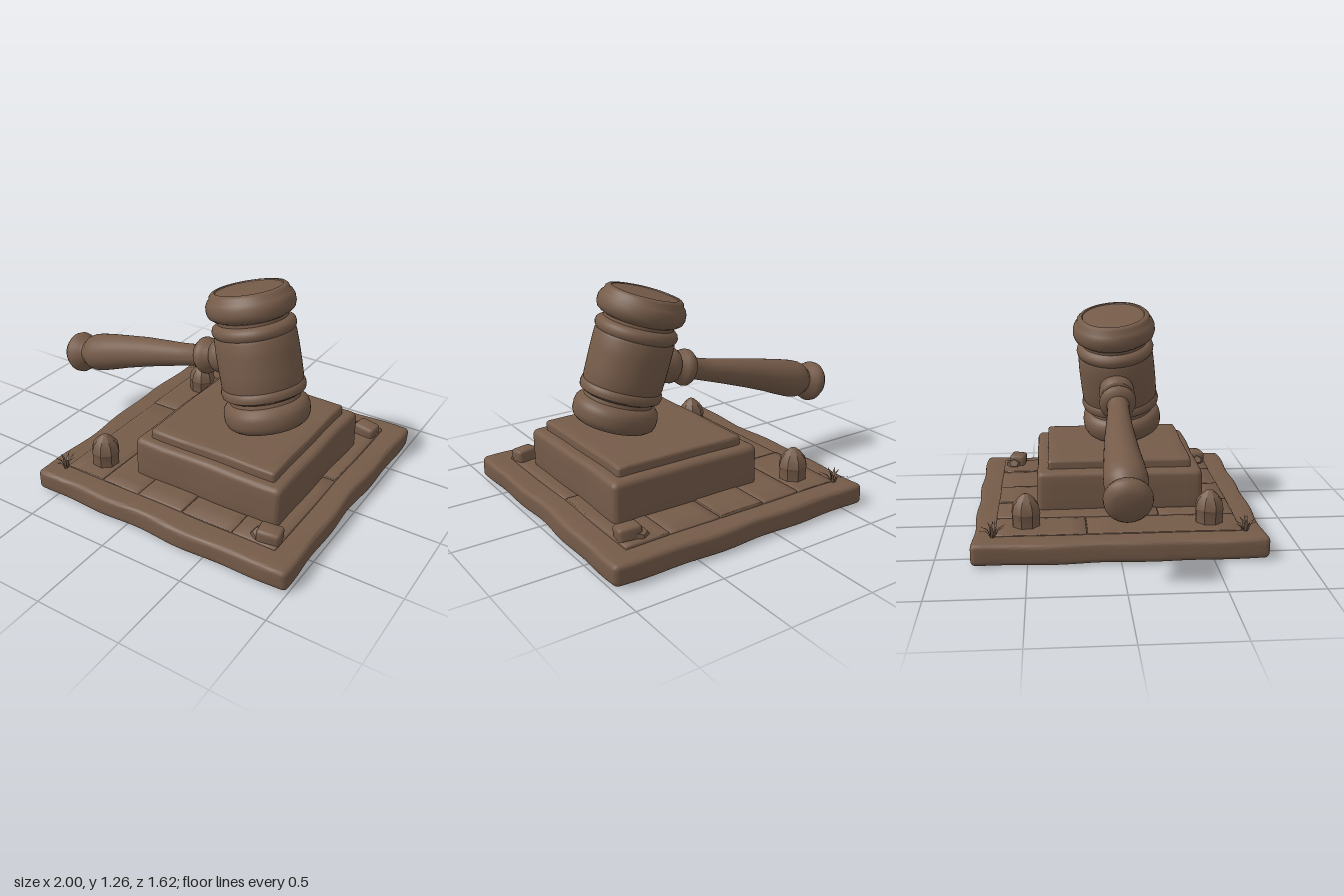
import * as THREE from 'three';
import { mergeVertices, toCreasedNormals } from 'three/addons/utils/BufferGeometryUtils.js';

const wood = new THREE.MeshStandardMaterial({ color: 0x755b49 });
wood.name = 'weathered brown';
const blade = new THREE.MeshStandardMaterial({ color: 0x755b49, side: THREE.DoubleSide });
blade.name = 'weathered brown blade';

const UP = new THREE.Vector3(0, 1, 0);

// Gentle hand-carved unevenness, then normals that keep hard edges
function carve(geo, amp, crease = 0.75) {
  geo.deleteAttribute('uv');
  geo.deleteAttribute('normal');
  geo = mergeVertices(geo, 1e-4);
  const p = geo.attributes.position;
  for (let i = 0; i < p.count; i++) {
    const x = p.getX(i), y = p.getY(i), z = p.getZ(i);
    p.setXYZ(i,
      x + amp * Math.sin(9 * z + 7 * y + 1) * Math.cos(4 * z - 3 * x),
      y + amp * 0.4 * Math.sin(8 * x + 1) * Math.sin(7 * z + 2),
      z + amp * Math.sin(8 * x - 6 * y + 2) * Math.cos(5 * x + 2 * z));
  }
  return toCreasedNormals(geo, crease);
}

function add(parent, name, geo, mat = wood) {
  const m = new THREE.Mesh(geo, mat);
  m.name = name;
  parent.add(m);
  return m;
}

// Rounded block from min/max corners, with enough vertices to be uneven
function block([x0, x1], [y0, y1], [z0, z1], r, amp, n = 22) {
  const half = [(x1 - x0) / 2, (y1 - y0) / 2, (z1 - z0) / 2];
  const seg = [n, 9, n];
  const geo = new THREE.BoxGeometry(2, 2, 2, ...seg);
  const p = geo.attributes.position;
  for (let i = 0; i < p.count; i++) {
    const q = [p.getX(i), p.getY(i), p.getZ(i)].map((u, a) => {
      const k = Math.round((u + 1) / 2 * seg[a]), h = half[a], e = seg[a] - k;
      if (k <= 3) return -h + r * k / 3;
      if (e <= 3) return h - r * e / 3;
      return (h - r) * (2 * (k - 3) / (seg[a] - 6) - 1);
    });
    const c = q.map((v, a) => THREE.MathUtils.clamp(v, r - half[a], half[a] - r));
    const d = new THREE.Vector3(...q.map((v, a) => v - c[a])).setLength(r);
    p.setXYZ(i, c[0] + d.x, c[1] + d.y, c[2] + d.z);
  }
  geo.translate((x0 + x1) / 2, (y0 + y1) / 2, (z0 + z1) / 2);
  return carve(geo, amp);
}

// Turned part: [radius, distance] pairs spun about a line
function turned(parent, name, profile, from, to, amp, sides = 48) {
  const pts = profile.map(([r, s]) => new THREE.Vector2(r, s));
  const m = add(parent, name, carve(new THREE.LatheGeometry(pts, sides), amp));
  m.position.copy(from);
  m.quaternion.setFromUnitVectors(UP, to.clone().sub(from).normalize());
  return m;
}

function grassTuft(x, z) {
  const g = new THREE.Group();
  g.name = 'grassTuft';
  for (let i = 0; i < 9; i++) {
    const a = i * 2.4, reach = 0.04 + 0.05 * ((i * 5) % 4) / 3, h = 0.105 - reach * 0.5;
    const c = Math.cos(a), s = Math.sin(a), w = 0.01;
    const at = (d, y, o) => [c * d - s * o, y, s * d + c * o];
    const geo = new THREE.BufferGeometry();
    geo.setAttribute('position', new THREE.Float32BufferAttribute([
      ...at(0.006, 0, -w), ...at(0.006, 0, w),
      ...at(reach * 0.4, h * 0.7, -w * 0.7), ...at(reach * 0.4, h * 0.7, w * 0.7),
      ...at(reach, h, 0)], 3));
    geo.setIndex([0, 2, 1, 1, 2, 3, 2, 4, 3]);
    geo.computeVertexNormals();
    add(g, 'grassBlade', geo, blade);
  }
  g.position.set(x, 0.12, z);
  return g;
}

export function createModel() {
  const model = new THREE.Group();
  model.name = 'gavelOnBase';

  // Stepped base
  add(model, 'baseSlab', block([-0.63, 0.985], [0.003, 0.125], [-0.8, 0.8], 0.028, 0.011, 36));
  add(model, 'plinth', block([-0.14, 0.785], [0.11, 0.36], [-0.45, 0.51], 0.035, 0.005));
  add(model, 'plinthTop', block([-0.07, 0.72], [0.33, 0.414], [-0.385, 0.45], 0.018, 0.004));

  // Inlaid floor planks: columns split at uneven places
  const columns = [
    [-0.51, -0.25, [-0.68, -0.18, 0.67], 0.134],
    [-0.25, 0.0, [-0.68, 0.24, 0.67], 0.138],
    [0.0, 0.287, [-0.68, 0.1, 0.67], 0.141],
    [0.287, 0.6, [-0.68, 0.0, 0.67], 0.136],
    [0.6, 0.86, [-0.68, -0.03, 0.67], 0.14],
  ];
  const floor = new THREE.Group();
  floor.name = 'floorPlanks';
  model.add(floor);
  for (const [x0, x1, cuts, top] of columns) {
    for (let i = 0; i < 2; i++) {
      add(floor, 'plank', block([x0 + 0.002, x1 - 0.002], [0.09, top - 0.003 * i],
        [cuts[i] + 0.002, cuts[i + 1] - 0.002], 0.005, 0.002, 12));
    }
  }

  // Gavel head, leaning towards the handle
  const head = new THREE.Group();
  head.name = 'gavelHead';
  model.add(head);
  const bottom = new THREE.Vector3(0.48, 0.462, 0.085), top = new THREE.Vector3(0.29, 1.2, 0.02);
  turned(head, 'headBarrel', [
    [0, 0], [0.175, 0], [0.182, -0.006], [0.205, 0], [0.228, 0.018], [0.24, 0.045],
    [0.242, 0.085], [0.236, 0.115], [0.218, 0.135], [0.198, 0.145], [0.195, 0.165],
    [0.212, 0.172], [0.232, 0.185], [0.237, 0.205], [0.233, 0.228], [0.225, 0.236],
    [0.229, 0.25], [0.231, 0.33], [0.231, 0.43], [0.228, 0.51],
    [0.222, 0.525], [0.23, 0.535], [0.234, 0.555], [0.228, 0.575], [0.212, 0.588],
    [0.197, 0.595], [0.197, 0.612], [0.218, 0.622], [0.238, 0.638], [0.247, 0.665],
    [0.245, 0.7], [0.234, 0.725], [0.222, 0.735], [0.217, 0.755], [0.205, 0.766],
    [0.188, 0.768], [0.184, 0.762], [0, 0.764]], bottom, top, 0.006, 56);

  // Handle with end knob, swelling grip and collars
  const handle = new THREE.Group();
  handle.name = 'gavelHandle';
  model.add(handle);
  const grip = new THREE.Vector3(-0.985, 0.452, 0), joint = new THREE.Vector3(0.26, 0.79, 0.027);
  turned(handle, 'handleShaft', [
    [0, 0], [0.07, 0], [0.1, 0.012], [0.121, 0.04], [0.125, 0.065], [0.116, 0.09],
    [0.092, 0.112], [0.083, 0.128], [0.088, 0.14], [0.105, 0.165], [0.114, 0.2],
    [0.115, 0.25], [0.109, 0.34], [0.099, 0.45], [0.088, 0.6], [0.076, 0.75],
    [0.067, 0.88], [0.062, 1.0], [0.066, 1.012], [0.092, 1.02], [0.106, 1.04],
    [0.107, 1.06], [0.098, 1.085], [0.074, 1.105], [0.07, 1.12], [0.092, 1.128],
    [0.103, 1.15], [0.104, 1.18], [0.1, 1.22], [0.09, 1.3], [0, 1.3]], grip, joint, 0.005, 36);

  for (const side of [-1, 1]) {
    // Pointed stone posts beside the handle
    const post = add(model, 'stonePost', toCreasedNormals(new THREE.LatheGeometry(
      [[0.08, 0], [0.08, 0.075], [0.084, 0.085], [0.074, 0.13], [0.045, 0.165], [0.018, 0.188], [0, 0.192]]
        .map(([r, y]) => new THREE.Vector2(r, y)), 8), 0.5));
    post.position.set(-0.355, 0.122, side * 0.51);
    post.rotation.y = side * 0.3;

    // Broken stones in the far corners
    const big = add(model, 'cornerStone', block([-0.065, 0.065], [0, 0.085], [-0.05, 0.05], 0.02, 0.008, 8));
    big.position.set(0.785, 0.118, side * 0.6);
    big.rotation.set(0.08, side * 0.15, -0.06);
    const small = add(model, 'stoneChip', new THREE.DodecahedronGeometry(0.05));
    small.scale.y = 0.8;
    small.position.set(0.74, 0.145, side * 0.615);

    model.add(grassTuft(-0.51, side * 0.685));
  }
  return model;
}
